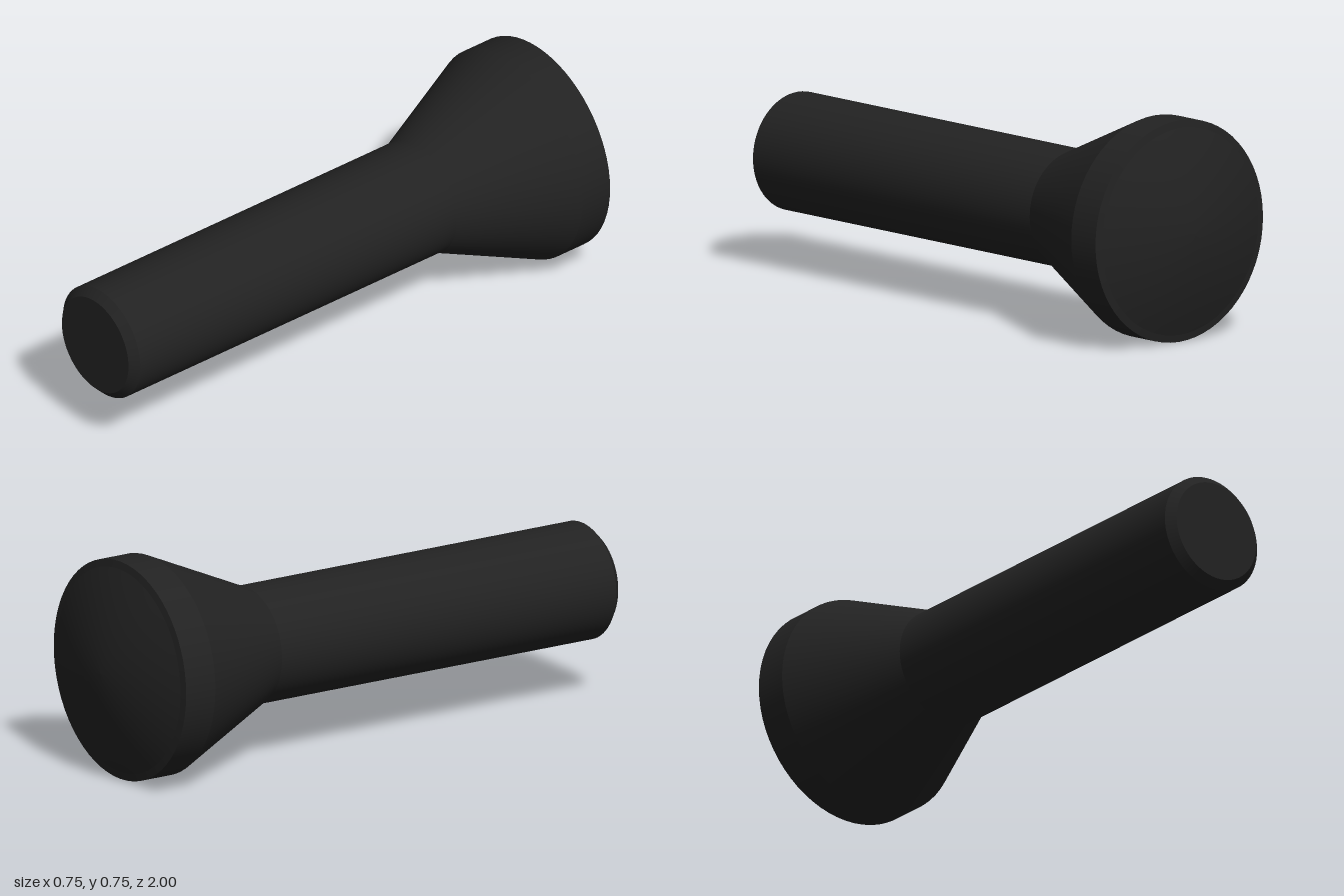
import * as THREE from 'three';

const black = new THREE.MeshStandardMaterial({ color: 0x222222 });
black.name = 'matte black';

// Turned section about the z axis; profile is [radius, z] from back to front
function turned(name, profile) {
  const points = profile.map(([r, z]) => new THREE.Vector2(r, z));
  const geometry = new THREE.LatheGeometry(points, 64);
  geometry.rotateX(Math.PI / 2);
  const mesh = new THREE.Mesh(geometry, black);
  mesh.name = name;
  return mesh;
}

export function createModel() {
  const model = new THREE.Group();
  model.name = 'flaredPin';

  // Shallow dome on the back of the head
  const dome = [];
  for (let i = 0; i <= 12; i++) {
    const t = i / 12;
    dome.push([0.35 * t, -1 + 0.075 * Math.pow(t, 1.7)]);
  }

  // Separate sections keep the edges between them crisp
  model.add(
    turned('headDome', dome),
    turned('headLip', [[0.35, -0.925], [0.375, -0.92]]),
    turned('headRim', [[0.375, -0.92], [0.375, -0.8]]),
    turned('headFlare', [[0.375, -0.8], [0.2, -0.4]]),
    turned('shaft', [[0.2, -0.4], [0.2, 0.972]]),
    turned('tipChamfer', [[0.2, 0.972], [0.172, 1]]),
    turned('tipFace', [[0.172, 1], [0, 1]])
  );
  for (const part of model.children) part.position.y = 0.375;
  return model;
}
